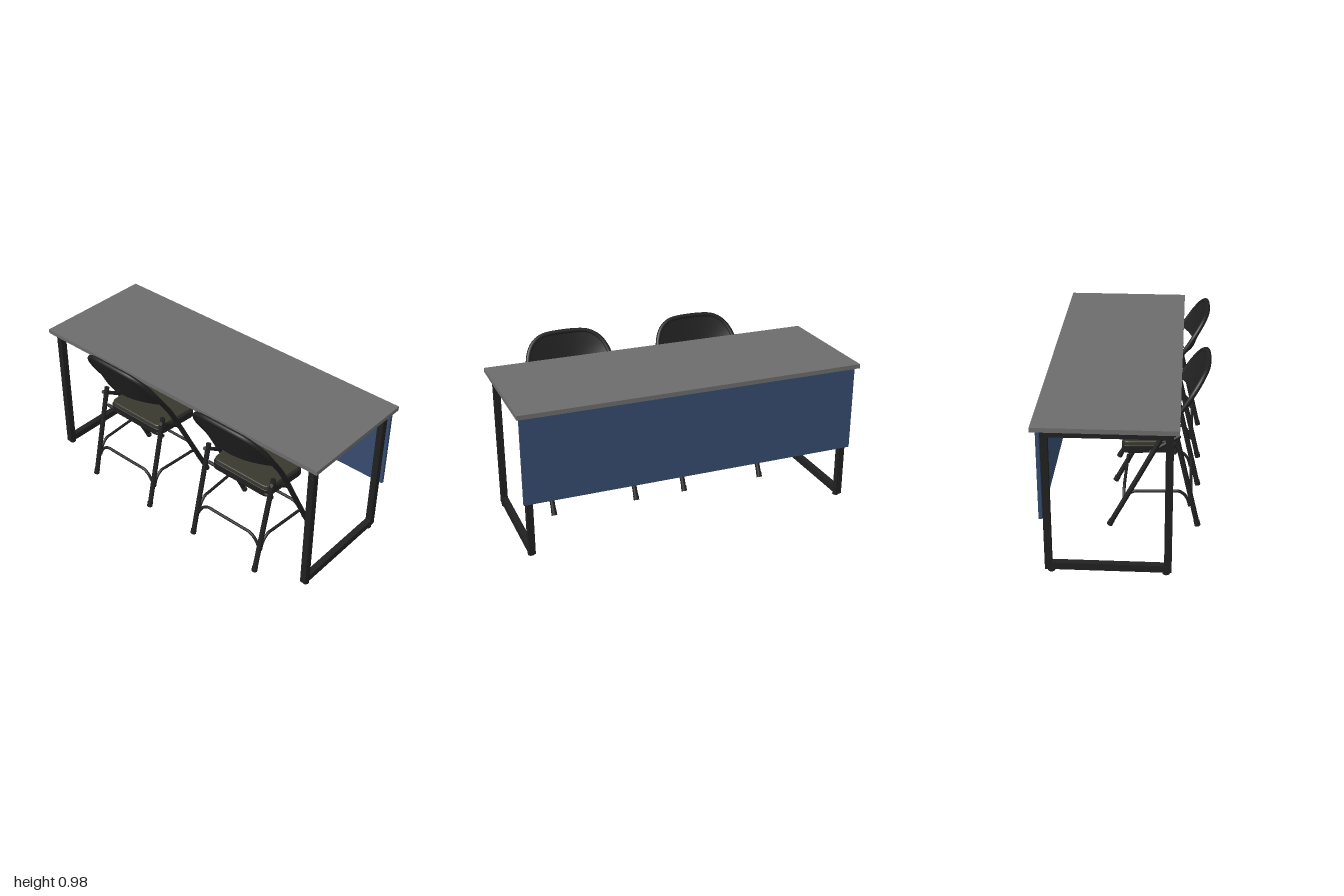
import * as THREE from 'three';

const mat = (name, color) => Object.assign(new THREE.MeshStandardMaterial({ color }), { name });
const grey = mat('table grey', 0x6c6c6c);
const black = mat('black metal', 0x202020);
const blue = mat('panel blue', 0x364b6e);
const olive = mat('dark olive', 0x38382e);
const V = (x, y, z) => new THREE.Vector3(x, y, z);

function add(parent, name, geometry, material, x = 0, y = 0, z = 0) {
  const mesh = new THREE.Mesh(geometry, material);
  mesh.name = name;
  mesh.position.set(x, y, z);
  parent.add(mesh);
  return mesh;
}

// Straight capped rod between two points
function rod(parent, name, a, b, r) {
  const mesh = add(parent, name, new THREE.CylinderGeometry(r, r, a.distanceTo(b), 14), black);
  mesh.position.copy(a).lerp(b, 0.5);
  mesh.quaternion.setFromUnitVectors(V(0, 1, 0), b.clone().sub(a).normalize());
}

function tube(parent, name, points, r, segments) {
  const curve = new THREE.CatmullRomCurve3(points, false, 'centripetal');
  add(parent, name, new THREE.TubeGeometry(curve, segments, r, 12), black);
}

// Thin brace that rises from both legs into a level bar
function archBrace(parent, name, a, b) {
  const top = 0.268, at = (t, y) => a.clone().lerp(b, t).setY(y);
  const rise = [[0, a.y], [0.035, 0.22], [0.09, 0.25], [0.17, top], [0.25, top]];
  const points = rise.map(([t, y]) => at(t, y));
  points.push(...rise.slice().reverse().map(([t, y]) => at(1 - t, y)));
  tube(parent, name, points, 0.0085, 48);
}

// Seat slab with rounded corners, tapering to the back
function slab(inset, depth, bevel) {
  const f = 0.025 - inset, b = -0.275 + inset, wf = 0.215 - inset, wb = 0.2 - inset, c = 0.04;
  const s = new THREE.Shape();
  s.moveTo(b + c, -wb);
  s.lineTo(f - c, -wf);
  s.quadraticCurveTo(f, -wf, f, -wf + c);
  s.lineTo(f, wf - c);
  s.quadraticCurveTo(f, wf, f - c, wf);
  s.lineTo(b + c, wb);
  s.quadraticCurveTo(b, wb, b, wb - c);
  s.lineTo(b, -wb + c);
  s.quadraticCurveTo(b, -wb, b + c, -wb);
  const g = new THREE.ExtrudeGeometry(s, {
    depth, bevelEnabled: bevel > 0, bevelSize: bevel, bevelThickness: bevel,
    bevelOffset: -bevel, bevelSegments: 3, curveSegments: 6,
  });
  return g.rotateX(-Math.PI / 2);
}

// Backrest: a thin sheet bowed backwards, most at its lower edge
function backrestGeometry() {
  const g = new THREE.BoxGeometry(0.016, 1, 2, 1, 12, 20);
  const p = g.attributes.position;
  for (let i = 0; i < p.count; i++) {
    const v = p.getY(i) + 0.5, u = p.getZ(i);
    const k = Math.max(0, (v - 0.45) / 0.55);
    const half = 0.24 - 0.11 * k * k;
    const bow = 0.075 * (1 - u * u) * (1 - 0.9 * v);
    p.setXYZ(i, -0.28 - 0.146 * v - bow + p.getX(i), 0.742 + 0.218 * v, u * half);
  }
  g.computeVertexNormals();
  return g;
}

function makeChair() {
  const chair = new THREE.Group();
  chair.name = 'foldingChair';

  // Front legs and back hoop in one bent tube
  const side = [
    [0.088, 0.06, 0.25], [-0.07, 0.363, 0.25], [-0.2, 0.615, 0.25], [-0.24, 0.684, 0.25],
    [-0.32, 0.80, 0.25], [-0.355, 0.855, 0.241], [-0.395, 0.915, 0.205],
    [-0.42, 0.95, 0.15], [-0.43, 0.961, 0.09],
  ];
  const hoop = side.map(([x, y, z]) => V(x, y, z));
  hoop.push(...side.slice().reverse().map(([x, y, z]) => V(x, y, -z)));
  tube(chair, 'frontLegsAndBackHoop', hoop, 0.0145, 120);
  add(chair, 'backrest', backrestGeometry(), black);

  // Seat frame, cushion and underside
  add(chair, 'seatFrame', slab(0, 0.036, 0.005), black, 0, 0.49, 0);
  add(chair, 'seatCushion', slab(0.006, 0.016, 0.007), olive, 0, 0.529, 0);
  add(chair, 'seatUnderside', slab(0.025, 0.004, 0), olive, 0, 0.482, 0);

  for (const s of [-1, 1]) {
    const zr = 0.228 * s, zf = 0.25 * s;
    rod(chair, 'rearLeg', V(-0.395, 0.06, zr), V(-0.264, 0.63, zr), 0.0145);
    rod(chair, 'rearFoot', V(-0.398, 0.052, zr), V(-0.391, 0.08, zr), 0.0165);
    rod(chair, 'frontFoot', V(0.091, 0.054, zf), V(0.078, 0.08, zf), 0.0165);
    rod(chair, 'foldingLink', V(-0.29, 0.607, 0.236 * s), V(-0.13, 0.505, 0.236 * s), 0.011);
    rod(chair, 'seatPivot', V(-0.145, 0.508, 0.2 * s), V(-0.145, 0.508, zf), 0.01);
    archBrace(chair, 'sideBrace', V(-0.35, 0.175, zr), V(0.018, 0.185, zf));
  }
  rod(chair, 'seatRearBar', V(-0.264, 0.5, -0.228), V(-0.264, 0.5, 0.228), 0.01);
  archBrace(chair, 'rearBrace', V(-0.355, 0.19, -0.222), V(-0.355, 0.19, 0.222));
  archBrace(chair, 'frontBrace', V(0.012, 0.19, -0.245), V(0.012, 0.19, 0.245));
  return chair;
}

// Rectangular leg loop of square tube
function legLoop() {
  const rect = (path, x0, y0, x1, y1) =>
    path.moveTo(x0, y0).lineTo(x1, y0).lineTo(x1, y1).lineTo(x0, y1).closePath();
  const s = new THREE.Shape(), hole = new THREE.Path();
  rect(s, -0.263, 0.015, 0.4, 0.83);
  rect(hole, -0.224, 0.055, 0.363, 0.79);
  s.holes.push(hole);
  return new THREE.ExtrudeGeometry(s, { depth: 0.036, bevelEnabled: false }).translate(0, 0, -0.018);
}

export function createModel() {
  const model = new THREE.Group();
  model.name = 'tableWithChairs';

  // Table
  const table = new THREE.Group();
  table.name = 'table';
  model.add(table);
  add(table, 'tabletop', new THREE.BoxGeometry(0.737, 0.025, 2), grey, 0.0765, 0.8445, 0);
  add(table, 'tabletopUnderside', new THREE.BoxGeometry(0.72, 0.004, 1.98), olive, 0.0765, 0.8305, 0);
  add(table, 'modestyPanel', new THREE.BoxGeometry(0.018, 0.5, 1.965), blue, 0.41, 0.58, 0);
  for (const z of [-0.948, 0.948]) {
    add(table, 'legLoop', legLoop(), black, 0, 0, z);
    for (const x of [-0.235, 0.367])
      add(table, 'levellingFoot', new THREE.CylinderGeometry(0.019, 0.019, 0.016, 16), black, x, 0.008, z);
  }

  // Two chairs side by side
  for (const z of [-0.32, 0.485]) {
    const chair = makeChair();
    chair.position.z = z;
    model.add(chair);
  }
  return model;
}
